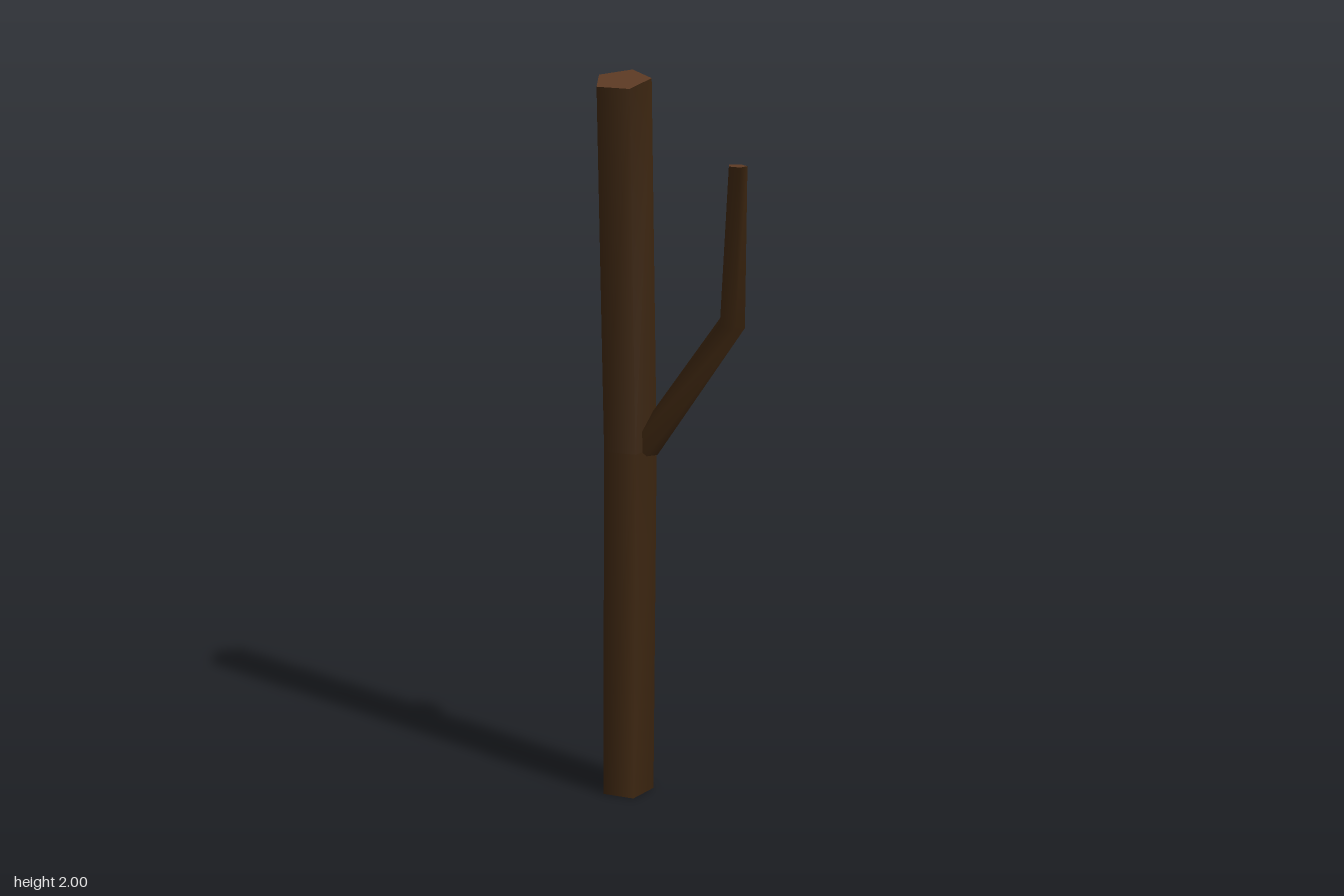
import * as THREE from 'three';

const SIDES = 5;

// Pentagon ring around a centre, tilted so its axis follows dir
function ring(center, radius, dir) {
  const up = new THREE.Vector3(0, 1, 0);
  const q = new THREE.Quaternion().setFromUnitVectors(up, new THREE.Vector3(...dir).normalize());
  return Array.from({ length: SIDES }, (_, i) => {
    const a = (i / SIDES) * Math.PI * 2;
    return new THREE.Vector3(Math.cos(a) * radius, 0, Math.sin(a) * radius)
      .applyQuaternion(q).add(new THREE.Vector3(...center));
  });
}

function geometryFrom(points, index) {
  const g = new THREE.BufferGeometry().setFromPoints(points);
  g.setIndex(index);
  g.computeVertexNormals();
  return g;
}

// Smooth skin joining consecutive rings
function skin(rings) {
  const index = [];
  for (let r = 0; r < rings.length - 1; r++) {
    for (let i = 0; i < SIDES; i++) {
      const a = r * SIDES + i, b = r * SIDES + (i + 1) % SIDES;
      index.push(a, a + SIDES, b, b, a + SIDES, b + SIDES);
    }
  }
  return geometryFrom(rings.flat(), index);
}

// Flat cut face closing a ring
function cap(points, facesUp) {
  const index = [];
  for (let i = 1; i < SIDES - 1; i++) index.push(0, ...(facesUp ? [i + 1, i] : [i, i + 1]));
  return geometryFrom(points, index);
}

export function createModel() {
  const bark = new THREE.MeshStandardMaterial({ color: 0x3d2610 });
  const wood = new THREE.MeshStandardMaterial({ color: 0x5c3a24 });
  bark.name = 'bark';
  wood.name = 'cutWood';

  const model = new THREE.Group();
  model.name = 'bareTree';

  function limb(name, rings) {
    const group = new THREE.Group();
    group.name = name;
    const add = (part, geometry, material) => {
      const mesh = new THREE.Mesh(geometry, material);
      mesh.name = name + part;
      group.add(mesh);
    };
    add('Bark', skin(rings), bark);
    add('Base', cap(rings[0], false), bark);
    add('CutTop', cap(rings[rings.length - 1], true), wood);
    model.add(group);
  }

  // Trunk: slight bow at mid height, top sawn off at a slant
  const up = [0, 1, 0];
  const top = ring([-0.133, 1.984, -0.101], 0.077, up);
  top.forEach((p) => { p.y += 0.05 * (p.x + 0.133) - 0.24 * (p.z + 0.101); });
  limb('trunk', [
    ring([-0.133, 0, -0.101], 0.077, up),
    ring([-0.122, 1.0, -0.101], 0.077, up),
    top,
  ]);

  // Branch: leaves the trunk sideways, then bends upward and forward
  limb('branch', [
    ring([-0.078, 1.005, -0.087], 0.042, [0.53, 0.83, 0.2]),
    ring([0.155, 1.365, 0.003], 0.037, [0.28, 0.92, 0.27]),
    ring([0.168, 1.798, 0.147], 0.0255, [0.03, 1, 0.03]),
  ]);

  return model;
}
